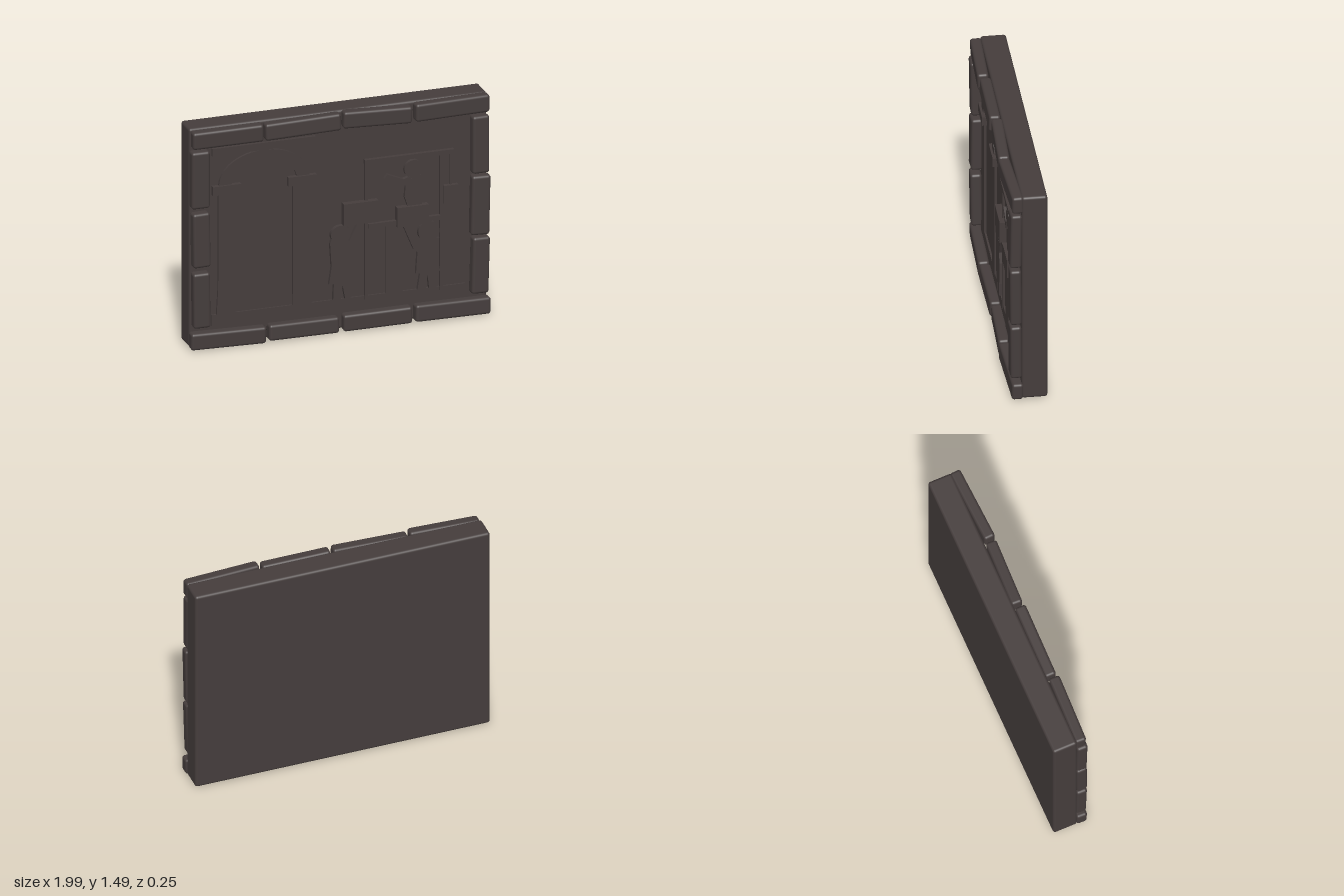
import * as THREE from 'three';
import { RoundedBoxGeometry } from 'three/addons/geometries/RoundedBoxGeometry.js';

const FACE = 0.038; // z of the slab's front face

export function createModel() {
  const group = new THREE.Group();
  const stone = new THREE.MeshStandardMaterial({ color: 0x453d3c });
  stone.name = 'dark stone';

  const add = (name, geometry) => {
    const mesh = new THREE.Mesh(geometry, stone);
    mesh.name = name;
    group.add(mesh);
    return mesh;
  };
  // Raised rectangle on the slab face
  const plate = (name, x0, x1, y0, y1, d) => {
    const mesh = add(name, new THREE.BoxGeometry(x1 - x0, y1 - y0, d + 0.01));
    mesh.position.set((x0 + x1) / 2, (y0 + y1) / 2, FACE + (d - 0.01) / 2);
  };
  // Raised silhouette on the slab face
  const relief = (name, shape, d) => {
    const mesh = add(name, new THREE.ExtrudeGeometry(shape, { depth: d + 0.01, bevelEnabled: false, curveSegments: 16 }));
    mesh.position.z = FACE - 0.01;
  };
  const outline = (pts) => new THREE.Shape(pts.map(([x, y]) => new THREE.Vector2(x, y)));
  const ellipse = (x, y, rx, ry) => new THREE.Shape().absellipse(x, y, rx, ry, 0, Math.PI * 2);

  // Backing slab
  add('slab', new RoundedBoxGeometry(1.975, 1.475, 0.163, 3, 0.018)).position.set(-0.005, 0.757, FACE - 0.0815);

  // Uneven border stones: centre x, y, width, height, turn about z, turn about y, turn about x
  const stones = [
    [-0.753, 1.432, 0.464, 0.115, 0.015, -0.03, 0.03],
    [-0.255, 1.435, 0.5, 0.112, 0.025, -0.012, -0.03],
    [0.24, 1.437, 0.452, 0.112, -0.03, -0.035, 0.02],
    [0.735, 1.437, 0.498, 0.118, -0.004, 0.05, 0],
    [-0.75, 0.073, 0.495, 0.112, -0.016, -0.02, 0.04],
    [-0.25, 0.073, 0.467, 0.106, -0.012, 0.015, -0.03],
    [0.24, 0.077, 0.452, 0.112, 0.015, -0.03, 0.03],
    [0.738, 0.077, 0.505, 0.112, -0.025, 0.04, -0.03],
    [-0.935, 1.165, 0.12, 0.385, 0.005, -0.03, 0.015],
    [-0.93, 0.758, 0.115, 0.365, 0.012, 0.03, -0.01],
    [-0.928, 0.352, 0.112, 0.372, 0.015, -0.03, 0.015],
    [0.923, 1.167, 0.113, 0.385, -0.005, 0.04, -0.015],
    [0.923, 0.758, 0.122, 0.4, -0.018, -0.03, 0.01],
    [0.922, 0.353, 0.114, 0.38, -0.025, 0.03, 0.012],
  ];
  stones.forEach(([x, y, w, h, rz, ry, rx], i) => {
    const mesh = add('borderStone' + (i + 1), new RoundedBoxGeometry(w, h, 0.072, 3, 0.018));
    mesh.position.set(x, y, 0.074);
    mesh.rotation.set(rx, ry, rz);
  });

  // Ground step
  plate('groundStep', -0.845, 0.835, 0.15, 0.225, 0.012);

  // Archway with its columns, capitals and lintel
  const archX = -0.5;
  plate('lintel', -0.845, -0.157, 1.3, 1.348, 0.02);
  const arch = new THREE.Shape();
  arch.absellipse(archX, 1.09, 0.3, 0.21, 0, Math.PI, false);
  arch.absellipse(archX, 1.09, 0.215, 0.125, Math.PI, 0, true);
  relief('arch', arch, 0.018);
  for (const s of [-1, 1]) {
    const at = (x, y) => [archX + s * x, y];
    plate('capital', archX + s * 0.25 - 0.094, archX + s * 0.25 + 0.094, 1.035, 1.095, 0.032);
    const pts = [at(0.192, 0.225), at(0.315, 0.225), at(0.305, 0.4), at(0.303, 1.035), at(0.19, 1.035)];
    relief('column', outline(s > 0 ? pts : pts.reverse()), 0.016);
  }

  // Market stall
  plate('stallBeam', 0.165, 0.757, 1.115, 1.145, 0.028);
  plate('stallPostLeft', 0.168, 0.19, 0.2, 1.115, 0.018);
  plate('stallPostRight', 0.666, 0.69, 0.2, 1.115, 0.018);
  plate('counter', 0.19, 0.666, 0.68, 0.71, 0.026);
  plate('counterSupport', 0.31, 0.42, 0.15, 0.68, 0.014);
  plate('signRod', 0.735, 0.747, 0.9, 1.115, 0.014);
  plate('hangingSign', 0.69, 0.785, 0.785, 0.905, 0.03);

  // Carrier lifting a crate
  relief('carrierHead', ellipse(0.005, 0.665, 0.066, 0.06), 0.028);
  relief('carrierBody', outline([
    [-0.065, 0.61], [-0.055, 0.45], [-0.072, 0.335], [-0.04, 0.335], [-0.045, 0.225],
    [0.005, 0.225], [0.018, 0.32], [0.035, 0.225], [0.07, 0.225], [0.073, 0.335],
    [0.11, 0.335], [0.1, 0.48], [0.085, 0.55], [0.165, 0.73], [0.12, 0.73],
    [0.06, 0.61], [0.04, 0.69], [-0.04, 0.69],
  ]), 0.024);
  plate('carrierCrate', 0.02, 0.25, 0.725, 0.87, 0.042);

  // Customer holding a crate
  relief('customerHead', ellipse(0.59, 0.61, 0.07, 0.07), 0.028);
  relief('customerBody', outline([
    [0.42, 0.67], [0.465, 0.67], [0.54, 0.56], [0.66, 0.56], [0.64, 0.48], [0.665, 0.335],
    [0.64, 0.335], [0.64, 0.225], [0.592, 0.225], [0.582, 0.32], [0.57, 0.225],
    [0.515, 0.225], [0.532, 0.335], [0.505, 0.335], [0.515, 0.48], [0.49, 0.5],
  ]), 0.024);
  plate('customerCrate', 0.375, 0.585, 0.67, 0.8, 0.042);

  // Merchant behind the counter, one arm stretched out
  relief('merchantHead', ellipse(0.49, 1.045, 0.062, 0.06), 0.026);
  relief('merchantBody', outline([
    [0.45, 0.8], [0.43, 0.86], [0.44, 0.97], [0.54, 1.0], [0.56, 0.92], [0.545, 0.8],
  ]), 0.022);
  relief('merchantArm', outline([
    [0.295, 1.005], [0.425, 0.94], [0.47, 0.96], [0.47, 1.0], [0.42, 0.985], [0.315, 1.03],
  ]), 0.028);

  return group;
}
